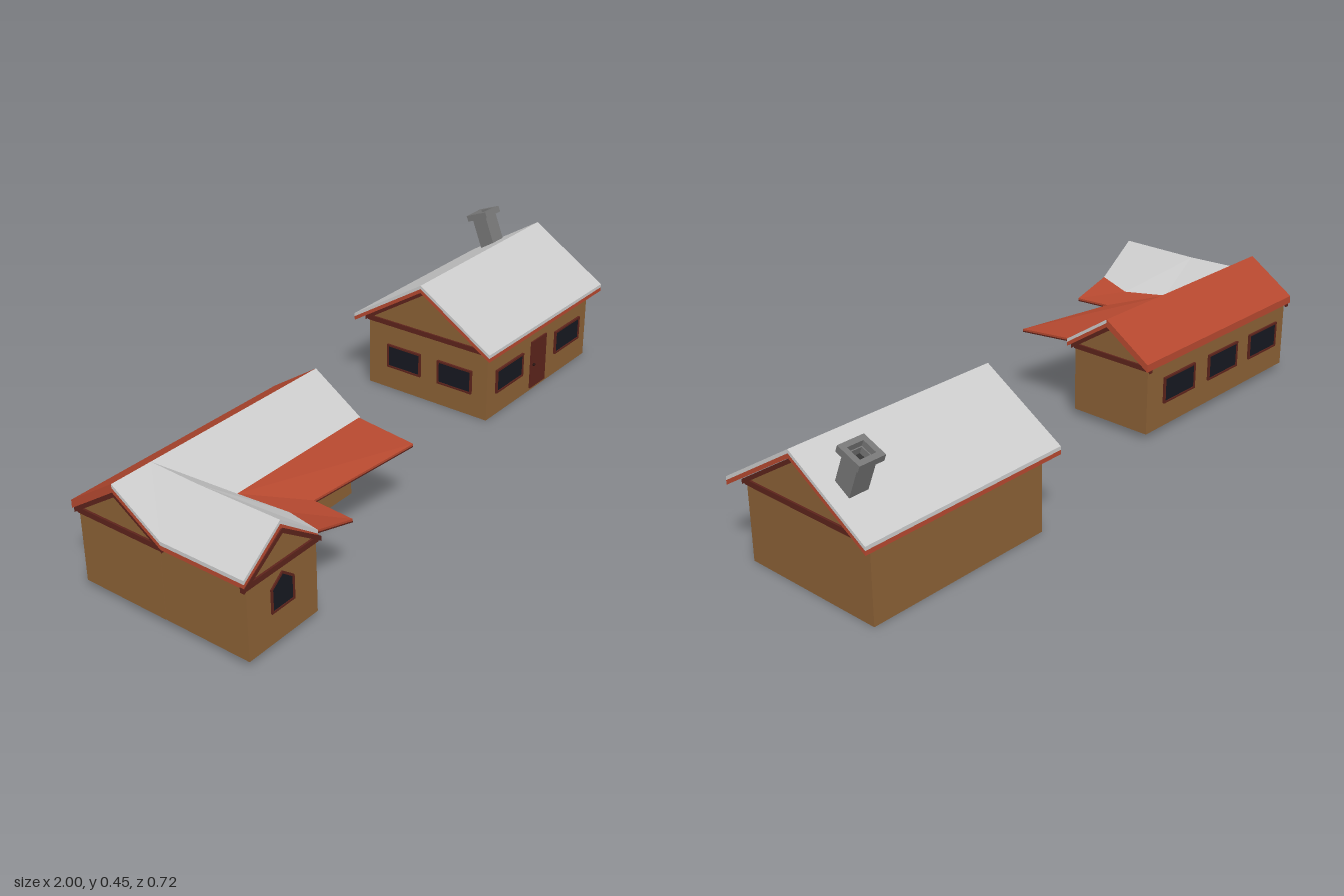
import * as THREE from 'three';

const mat = (color) => new THREE.MeshStandardMaterial({ color, flatShading: true });
const M = {
  wall: mat(0x8a6035), tile: mat(0xb5482f), trim: mat(0x5c231b), glass: mat(0x161820),
  sheet: mat(0xcccccc), stone: mat(0x777777), soot: mat(0x333333), knob: mat(0x2a1512),
};

function add(parent, name, geo, material, x = 0, y = 0, z = 0) {
  const mesh = new THREE.Mesh(geo, material);
  mesh.name = name;
  mesh.position.set(x, y, z);
  parent.add(mesh);
  return mesh;
}

const box = (w, h, d) => new THREE.BoxGeometry(w, h, d);
const polygon = (pts) => new THREE.Shape(pts.map(([x, y]) => new THREE.Vector2(x, y)));
const extrude = (shape, depth) => new THREE.ExtrudeGeometry(shape, { depth, bevelEnabled: false });

// Roof panel: a polygon of top corners given a vertical thickness
function slab(pts, thick, drop = 0) {
  let area = 0;
  pts.forEach((p, i) => {
    const q = pts[(i + 1) % pts.length];
    area += p[0] * q[2] - q[0] * p[2];
  });
  const top = (area > 0 ? [...pts].reverse() : pts).map(([x, y, z]) => [x, y - drop, z]);
  const low = top.map(([x, y, z]) => [x, y - thick, z]);
  const n = top.length, v = [];
  for (let i = 1; i < n - 1; i++) {
    v.push(...top[0], ...top[i], ...top[i + 1]);
    v.push(...low[0], ...low[i + 1], ...low[i]);
  }
  for (let i = 0; i < n; i++) {
    const j = (i + 1) % n;
    v.push(...top[i], ...low[i], ...low[j], ...top[i], ...low[j], ...top[j]);
  }
  const g = new THREE.BufferGeometry();
  g.setAttribute('position', new THREE.Float32BufferAttribute(v, 3));
  g.computeVertexNormals();
  return g;
}

// Grey sheet over a red underlay
function layeredPanel(parent, name, pts, topMat = M.sheet) {
  add(parent, name, slab(pts, 0.011), topMat);
  add(parent, name + 'Underlay', slab(pts, 0.013, 0.011), M.tile);
}

// Gabled walls with the ridge along local z, with tie beams and rafters on chosen ends
function gableBody(name, half, length, base, eave, apex, ends) {
  const g = new THREE.Group();
  g.name = name;
  const shape = polygon([[-half, base], [half, base], [half, eave], [0, apex], [-half, eave]]);
  add(g, 'walls', extrude(shape, length), M.wall, 0, 0, -length / 2);
  const slope = (apex - eave) / half, over = half + 0.012;
  const rafters = polygon([
    [-over, apex - slope * over], [0, apex], [over, apex - slope * over],
    [over, apex - slope * over - 0.014], [0, apex - 0.014], [-over, apex - slope * over - 0.014],
  ].reverse());
  for (const e of ends) {
    add(g, 'tieBeam', box(half * 2 + 0.004, 0.016, 0.012), M.trim, 0, eave - 0.011, e * length / 2);
    add(g, 'gableRafters', extrude(rafters, 0.014), M.trim, 0, 0, e * length / 2 - 0.007);
  }
  return g;
}

// Framed window facing +z
function windowUnit(w, h) {
  const g = new THREE.Group();
  g.name = 'window';
  const t = 0.006;
  for (const s of [-1, 1]) {
    add(g, 'frameRail', box(w, t, 0.012), M.trim, 0, s * (h - t) / 2, 0);
    add(g, 'frameStile', box(t, h, 0.012), M.trim, s * (w - t) / 2, 0, 0);
  }
  add(g, 'glass', box(w - t, h - t, 0.006), M.glass);
  return g;
}

function place(parent, obj, x, y, z, turn = 0) {
  obj.position.set(x, y, z);
  obj.rotation.y = turn;
  parent.add(obj);
}

function door(w, h) {
  const g = new THREE.Group();
  g.name = 'door';
  add(g, 'doorLeaf', box(w, h, 0.008), M.trim);
  add(g, 'doorKnob', new THREE.SphereGeometry(0.005, 8, 6), M.knob, -w * 0.36, 0, 0.007);
  return g;
}

function chimney() {
  const g = new THREE.Group();
  g.name = 'chimney';
  const tube = (w, d, iw, id, h) => {
    const rect = (a, b) => [[-a / 2, -b / 2], [a / 2, -b / 2], [a / 2, b / 2], [-a / 2, b / 2]];
    const s = polygon(rect(w, d));
    s.holes.push(polygon(rect(iw, id)));
    return extrude(s, h).rotateX(-Math.PI / 2);
  };
  add(g, 'chimneyShaft', tube(0.06, 0.055, 0.044, 0.04, 0.13), M.stone);
  add(g, 'chimneyCap', tube(0.082, 0.08, 0.05, 0.046, 0.02), M.stone, 0, 0.128, 0);
  add(g, 'flue', box(0.046, 0.11, 0.042), M.soot, 0, 0.055, 0);
  return g;
}

function cottage() {
  const g = new THREE.Group();
  g.name = 'cottage';
  place(g, gableBody('cottageBody', 0.2275, 0.6, 0, 0.243, 0.387, [-1, 1]), 0.66, 0, -0.1025, Math.PI / 2);
  for (const [name, eaveZ] of [['frontRoof', 0.155], ['backRoof', -0.36]]) {
    layeredPanel(g, name, [[0.32, 0.412, -0.1025], [1, 0.412, -0.1025], [1, 0.25, eaveZ], [0.32, 0.25, eaveZ]]);
  }
  place(g, door(0.09, 0.165), 0.657, 0.0925, 0.126);
  for (const x of [0.485, 0.835]) place(g, windowUnit(0.155, 0.08), x, 0.117, 0.126);
  for (const z of [-0.19, 0.005]) place(g, windowUnit(0.13, 0.08), 0.359, 0.117, z, -Math.PI / 2);
  const c = chimney();
  c.position.set(0.92, 0.3, -0.219);
  c.rotation.x = -0.38;
  g.add(c);
  return g;
}

function wingedHouse() {
  const g = new THREE.Group();
  g.name = 'wingedHouse';
  const ridgeZ = -0.064, top = 0.363, eave = 0.26, wingTop = 0.357;
  place(g, gableBody('mainBody', 0.14, 0.735, 0.02, 0.246, 0.338, [-1, 1]), -0.6225, 0, ridgeZ, Math.PI / 2);
  place(g, gableBody('wingBody', 0.126, 0.42, 0.02, 0.246, 0.333, [1]), -0.863, 0, 0.14);

  // Main roof
  const L = -1, R = -0.23;
  layeredPanel(g, 'mainFrontRoof', [[L, top, ridgeZ], [R, top, ridgeZ], [R, eave, 0.09], [L, eave, 0.09]]);
  layeredPanel(g, 'mainBackRoof', [[L, top, ridgeZ], [R, top, ridgeZ], [R, eave, -0.22], [L, eave, -0.22]], M.tile);

  // Wing roof and the two small panels joining it to the main ridge
  const inner = [-0.73, eave, 0.09], bulge = [-0.7, 0.246, 0.235], outer = [-0.735, eave, 0.355];
  const ridgeBack = [-0.868, wingTop, 0.09], ridgeFront = [-0.868, wingTop, 0.355];
  layeredPanel(g, 'wingLeftRoof', [ridgeBack, ridgeFront, outer, bulge, inner]);
  layeredPanel(g, 'wingRightRoof', [ridgeBack, ridgeFront, [L, eave, 0.355], [L, eave, 0.09]]);
  const meet = [-0.868, top, ridgeZ];
  layeredPanel(g, 'valleyLeft', [ridgeBack, inner, meet]);
  layeredPanel(g, 'valleyRight', [ridgeBack, [L, eave, 0.09], meet]);

  // Low red porch roof wrapping the inner corner
  const tip = [-0.6, 0.221, 0.355], corner = [-0.6, 0.228, 0.23];
  const porch = [
    [bulge, outer, tip, corner],
    [inner, bulge, corner, [-0.235, 0.241, 0.275], [-0.235, eave, 0.09]],
  ];
  for (const p of porch) {
    add(g, 'porchRoof', slab(p, 0.006), M.tile);
    add(g, 'porchRoofLining', slab(p, 0.004, 0.006), M.trim);
  }

  // Openings
  place(g, door(0.09, 0.19), -0.5, 0.12, 0.077);
  for (const x of [-0.412, -0.641, -0.865]) place(g, windowUnit(0.157, 0.085), x, 0.14, -0.205, Math.PI);
  const arch = (w, low, side, peak) => polygon([[-w, low], [w, low], [w, side], [0, peak], [-w, side]]);
  const frame = arch(0.042, 0.11, 0.18, 0.213);
  frame.holes.push(arch(0.036, 0.116, 0.177, 0.205));
  add(g, 'pointedWindowFrame', extrude(frame, 0.008), M.trim, -0.865, 0, 0.346);
  add(g, 'pointedWindowGlass', extrude(arch(0.037, 0.115, 0.178, 0.206), 0.006), M.glass, -0.865, 0, 0.346);
  return g;
}

export function createModel() {
  const model = new THREE.Group();
  model.name = 'twoHouses';
  model.add(cottage(), wingedHouse());
  return model;
}
